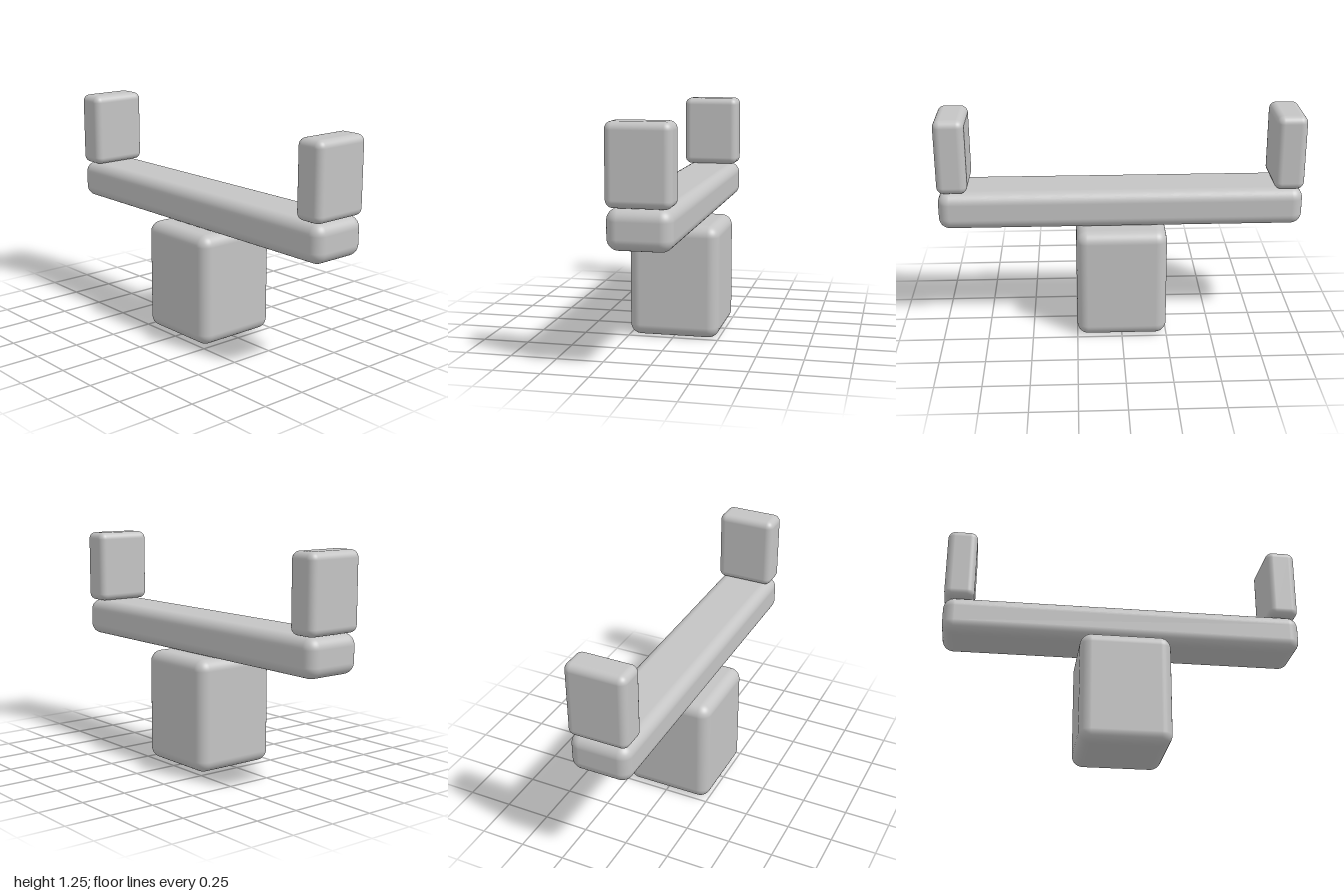
import * as THREE from 'three';
import { RoundedBoxGeometry } from 'three/addons/geometries/RoundedBoxGeometry.js';

export function createModel() {
  const model = new THREE.Group();
  model.name = 'balanceBeam';

  const grey = new THREE.MeshStandardMaterial({ color: 0xc4c4c4 });
  grey.name = 'lightGrey';

  // Rounded block standing on height y
  function block(name, [w, h, d], radius, x, y) {
    const mesh = new THREE.Mesh(new RoundedBoxGeometry(w, h, d, 6, radius), grey);
    mesh.name = name;
    mesh.position.set(x, y + h / 2, 0);
    model.add(mesh);
  }

  const baseTop = 0.625;
  const beamTop = 0.835;

  // Pedestal and the long plank resting on it
  block('base', [0.5, baseTop, 0.5], 0.062, 0, 0);
  block('beam', [2, beamTop - baseTop, 0.334], 0.062, 0, baseTop);

  // Upright end blocks, flush with the plank ends
  const endWidth = 0.166;
  for (const [name, side] of [['leftEndBlock', 1], ['rightEndBlock', -1]]) {
    block(name, [endWidth, 1.25 - beamTop, 0.334], 0.04, side * (1 - endWidth / 2), beamTop);
  }

  return model;
}
